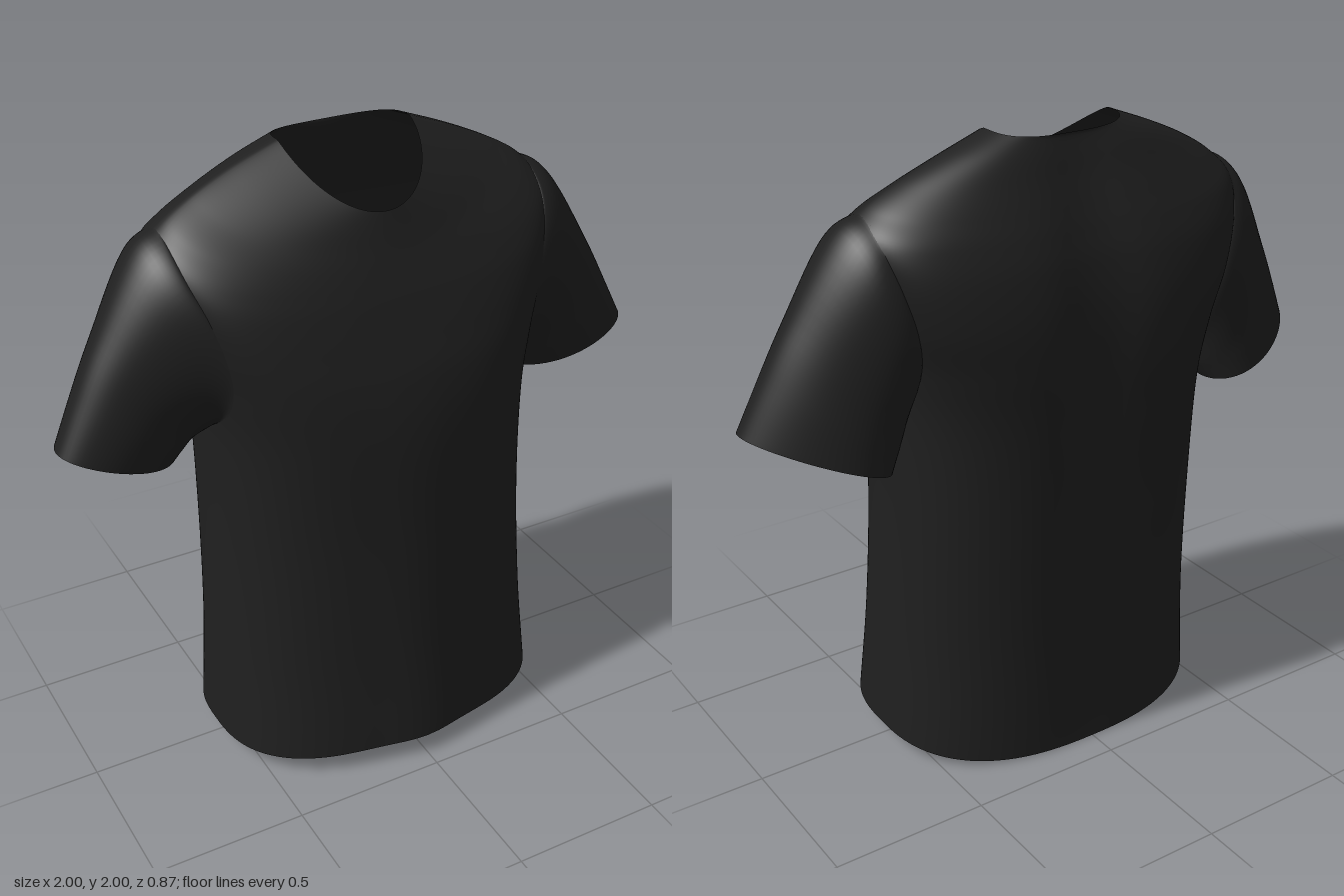
import * as THREE from 'three';

// Smooth lookup through a table of cross-section rows, t in 0..1
function sampler(rows) {
  const n = rows[0].length;
  const spline = new THREE.CubicInterpolant(rows.map((_, i) => i), rows.flat(), n, new Float32Array(n));
  return (t) => Array.from(spline.evaluate(t * (rows.length - 1)));
}

// Open tube through closed rings; point(t, angle) gives a position, skip(t, angle) leaves out faces
function loft(rings, sides, point, skip = () => false) {
  const pos = [], index = [], turn = (Math.PI * 2) / sides;
  for (let j = 0; j <= rings; j++)
    for (let i = 0; i < sides; i++) pos.push(...point(j / rings, i * turn));
  for (let j = 0; j < rings; j++)
    for (let i = 0; i < sides; i++) {
      const a = j * sides + i, b = j * sides + ((i + 1) % sides);
      const c = a + sides, d = b + sides;
      if (!skip((j + 0.5) / rings, (i + 0.5) * turn)) index.push(a, c, b, b, c, d);
    }
  const g = new THREE.BufferGeometry();
  g.setAttribute('position', new THREE.Float32BufferAttribute(pos, 3));
  g.setIndex(index);
  g.computeVertexNormals();
  return g;
}

// Torso rows: side y, half width, front y, front z, back y, back z, side z, front and back squareness
const torsoAt = sampler([
  [0.055, 0.57, 0.07, 0.41, 0.002, -0.40, 0.0, 2.6, 2.5],
  [0.40, 0.545, 0.40, 0.38, 0.39, -0.405, -0.01, 2.5, 2.5],
  [0.80, 0.53, 0.80, 0.355, 0.80, -0.42, -0.03, 2.5, 2.6],
  [1.15, 0.53, 1.15, 0.337, 1.15, -0.435, -0.05, 2.7, 2.7],
  [1.35, 0.555, 1.34, 0.31, 1.35, -0.44, -0.06, 3.0, 3.0],
  [1.50, 0.60, 1.47, 0.272, 1.50, -0.43, -0.08, 3.2, 3.3],
  [1.63, 0.64, 1.57, 0.238, 1.63, -0.405, -0.09, 3.0, 3.2],
  [1.755, 0.655, 1.63, 0.215, 1.72, -0.375, -0.10, 2.5, 2.7],
  [1.825, 0.60, 1.68, 0.195, 1.79, -0.345, -0.10, 2.2, 2.4],
  [1.885, 0.50, 1.73, 0.175, 1.865, -0.31, -0.11, 2.0, 2.3],
  [1.943, 0.37, 1.78, 0.157, 1.93, -0.28, -0.12, 2.0, 2.5],
  [2.00, 0.22, 1.83, 0.14, 1.985, -0.25, -0.12, 2.0, 3.0],
]);

function torsoPoint(t, a) {
  const [ys, w, yf, zf, yb, zb, zs, nf, nb] = torsoAt(t);
  const c = Math.cos(a), s = Math.sin(a), front = s > 0;
  const round = (v) => Math.sign(v) * Math.pow(Math.abs(v), 2 / (front ? nf : nb));
  const x = w * round(c);
  let z = zs + Math.abs(round(s)) * ((front ? zf : zb) - zs);
  const y = ys + ((front ? yf : yb) - ys) * Math.pow(Math.abs(s), 1.25);
  // Soft drape: bulge in front towards the hem, hollow down the spine
  const middle = Math.exp(-((x / 0.13) ** 2)) * Math.abs(s);
  if (front) z += 0.025 * Math.max(0, 1 - t * 2) * middle;
  else z += 0.03 * Math.sqrt(Math.max(0, Math.sin(Math.PI * t))) * middle;
  return [x, y, z];
}

// Armhole: an oval on the torso, reaching further round the front than the back
const armhole = { t: 0.498, height: 0.207, reach: (towardFront) => (towardFront ? 0.6 : 0.5) };

function inArmhole(t, angle) {
  const a = Math.asin(Math.sin(angle));
  return Math.hypot((t - armhole.t) / armhole.height, a / armhole.reach(a > 0)) < 0.96;
}

// Sleeve rows: upper x, upper y, lower x, lower y, centre z, half depth, forward lean, outer taper
const sleeveAt = sampler([
  [0.62, 1.805, 0.53, 1.19, -0.085, 0.24, 0.0, 0.0],
  [0.725, 1.745, 0.54, 1.155, -0.095, 0.215, 0.0, 0.0],
  [0.86, 1.50, 0.56, 1.12, -0.10, 0.18, 0.03, 0.08],
  [0.935, 1.345, 0.58, 1.09, -0.10, 0.172, 0.045, 0.12],
  [1.0, 1.21, 0.60, 1.06, -0.10, 0.165, 0.06, 0.16],
]);

const sleevePoint = (side) => (t, angle) => {
  const [xt, yt, xb, yb, zc, zh, lean, taper] = sleeveAt(t);
  const c = Math.cos(angle), s = -side * Math.sin(angle), m = (1 + c) / 2;
  const ring = [xb + (xt - xb) * m, yb + (yt - yb) * m, zc + lean * c + zh * s * (1 - taper * c)];
  // Grow out of the armhole seam
  const seam = torsoPoint(armhole.t + armhole.height * c, s * armhole.reach(s > 0));
  const [x, y, z] = ring.map((v, k) => v + (seam[k] - v) * (1 - t) ** 4);
  return [side * x, y, z];
};

export function createModel() {
  const group = new THREE.Group();
  group.name = 'tShirt';
  const cloth = new THREE.MeshStandardMaterial({ color: 0x1f1f1f, side: THREE.DoubleSide });
  cloth.name = 'black cloth';
  const add = (name, geometry) => {
    const mesh = new THREE.Mesh(geometry, cloth);
    mesh.name = name;
    group.add(mesh);
  };
  add('torso', loft(110, 160, torsoPoint, inArmhole));
  add('leftSleeve', loft(30, 64, sleevePoint(1)));
  add('rightSleeve', loft(30, 64, sleevePoint(-1)));
  return group;
}
